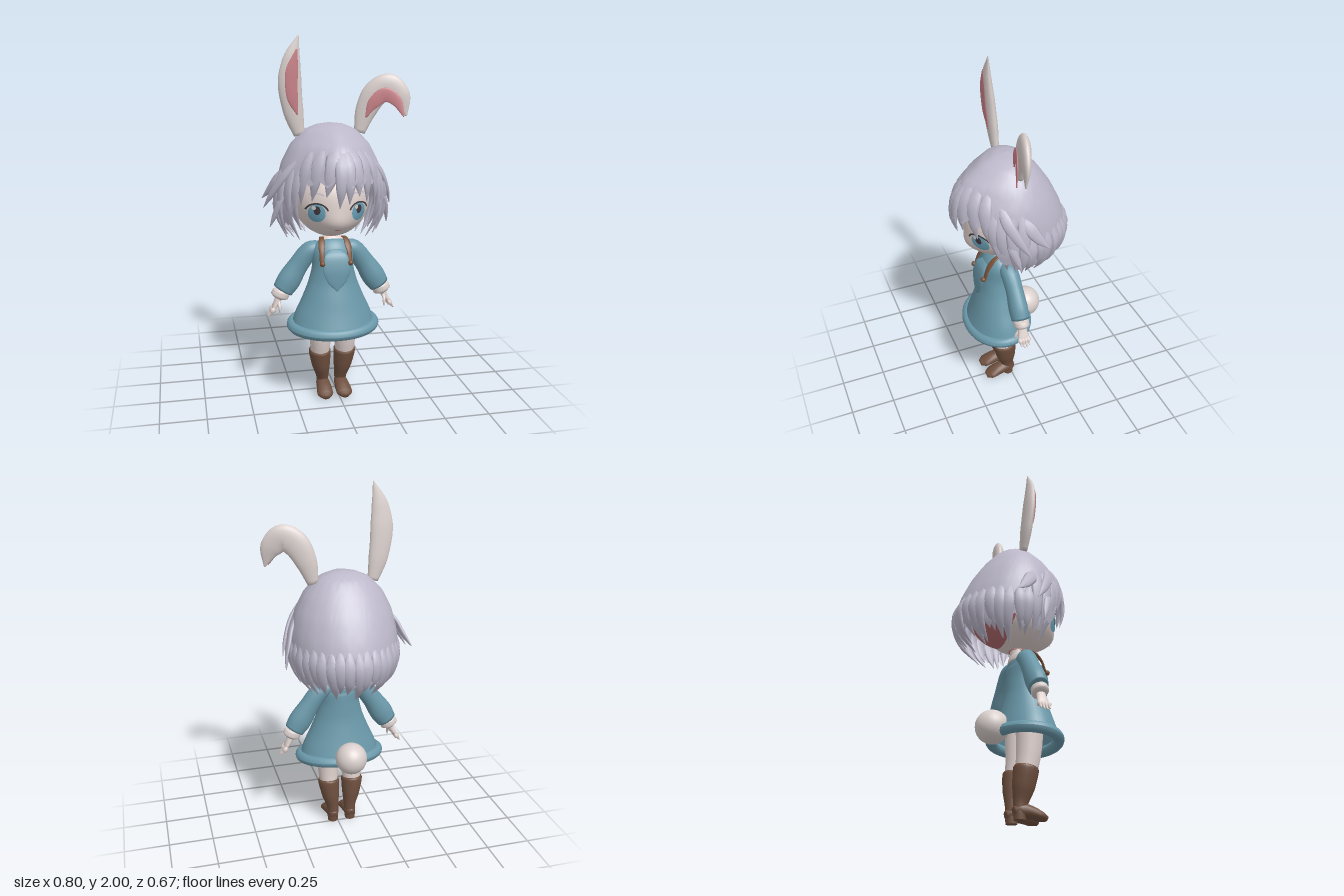
import * as THREE from 'three';

const mat = (name, color, double) => {
  const m = new THREE.MeshStandardMaterial({ color });
  m.name = name;
  if (double) m.side = THREE.DoubleSide;
  return m;
};
const V = (p) => new THREE.Vector3(...p);

// Sweeps an ellipse along stations [x, y, z, width radius, depth radius]; ref is the depth direction.
function sweep(stations, ref = [0, 0, 1], steps = 20, sides = 20, closed = true) {
  const path = new THREE.CatmullRomCurve3(stations.map((s) => new THREE.Vector3(s[0], s[1], s[2])));
  const size = new THREE.CatmullRomCurve3(stations.map((s) => new THREE.Vector3(s[3], s[4], 0)));
  const pos = [], idx = [];
  for (let i = 0; i <= steps; i++) {
    const t = i / steps, p = path.getPoint(t), r = size.getPoint(t), T = path.getTangent(t);
    const B = V(ref).addScaledVector(T, -V(ref).dot(T)).normalize();
    const S = B.clone().cross(T);
    for (let j = 0; j < sides; j++) {
      const th = (j / sides) * Math.PI * 2;
      const q = p.clone().addScaledVector(S, Math.max(r.x, 0.001) * Math.cos(th))
        .addScaledVector(B, Math.max(r.y, 0.001) * Math.sin(th));
      pos.push(q.x, q.y, q.z);
    }
  }
  for (let i = 0; i < steps; i++) for (let j = 0; j < sides; j++) {
    const k = (j + 1) % sides, a = i * sides + j, b = i * sides + k;
    idx.push(a, b, a + sides, b, b + sides, a + sides);
  }
  if (closed) for (const end of [0, 1]) {
    const c = pos.length / 3, p = path.getPoint(end), o = end * steps * sides;
    pos.push(p.x, p.y, p.z);
    for (let j = 0; j < sides; j++) {
      const k = (j + 1) % sides;
      end ? idx.push(c, o + j, o + k) : idx.push(c, o + k, o + j);
    }
  }
  return surface(pos, idx);
}

function surface(pos, idx) {
  const g = new THREE.BufferGeometry();
  g.setAttribute('position', new THREE.Float32BufferAttribute(pos, 3));
  g.setIndex(idx);
  g.computeVertexNormals();
  return g;
}

// Hair outline by height: [y, half width, front reach, back reach]
const OUTLINE = [[1.545, 0, 0, 0], [1.535, 0.075, 0.08, 0.05], [1.505, 0.145, 0.15, 0.11], [1.43, 0.215, 0.25, 0.175],
  [1.33, 0.265, 0.312, 0.24], [1.22, 0.292, 0.335, 0.292], [1.1, 0.3, 0.325, 0.328], [1.0, 0.28, 0.29, 0.315],
  [0.93, 0.245, 0.25, 0.265], [0.86, 0.2, 0.2, 0.21]];
function level(y) {
  let i = 0;
  while (i < OUTLINE.length - 2 && OUTLINE[i + 1][0] > y) i++;
  return i + (OUTLINE[i][0] - y) / (OUTLINE[i][0] - OUTLINE[i + 1][0]);
}
// Point on the hair at outline level s and azimuth a (0 = front, positive = left); the fringe comes to a blunt point
function hairPoint(s, a, lift = 0) {
  const i = Math.min(Math.floor(s), OUTLINE.length - 2), f = s - i;
  const [y, w, zf, zb] = OUTLINE[i].map((v, k) => v + (OUTLINE[i + 1][k] - v) * f);
  const c = Math.cos(a), n = Math.sin(a), front = Math.max(c, 0) ** 2;
  return [-0.03 + w * n * (1 - 0.36 * front) + 0.1 * w * front + lift * n, y, (c > 0 ? zf : zb) * c + lift * c];
}

// Height of the face surface in z, for painted features
const HEAD = [-0.03, 1.14, 0.03], HR = 0.21;
function faceZ(x, y) {
  const d = HR * HR - (x - HEAD[0]) ** 2 - (y - HEAD[1]) ** 2;
  const muzzle = 0.036 * Math.exp(-((x - HEAD[0]) ** 2) / 0.008 - ((y - 1.015) ** 2) / 0.005);
  return HEAD[2] + Math.sqrt(Math.max(d, 0)) + muzzle;
}

export function createModel() {
  const M = {
    hair: mat('lavender hair', 0xbcb8ca, true), skin: mat('skin', 0xe0d2ce), fur: mat('fur', 0xdad0cd),
    pink: mat('ear pink', 0xcb848a), dress: mat('blue cloth', 0x6a98a9, true), boot: mat('brown leather', 0x6f503f),
    strap: mat('strap', 0x7b5138), iris: mat('iris blue', 0x6da6be), dark: mat('dark line', 0x433a40),
    inner: mat('hair underside', 0xb46c70),
  };
  const root = new THREE.Group();
  const body = new THREE.Group(), head = new THREE.Group();
  body.name = 'body'; head.name = 'head';
  body.position.x = -0.027;
  root.add(body, head);
  const add = (parent, name, geo, m, p = [0, 0, 0]) => {
    const mesh = new THREE.Mesh(geo, m);
    mesh.name = name;
    mesh.position.set(...p);
    parent.add(mesh);
    return mesh;
  };

  // Dress, hem roll, collar
  add(body, 'dress', sweep([[0, 0.42, 0.07, 0.238, 0.175], [0, 0.5, 0.07, 0.212, 0.15], [0, 0.58, 0.07, 0.175, 0.128],
    [0, 0.68, 0.068, 0.135, 0.103], [0, 0.77, 0.066, 0.114, 0.092], [0, 0.84, 0.062, 0.115, 0.085],
    [0, 0.88, 0.05, 0.1, 0.07], [0, 0.9, 0.042, 0.078, 0.055]], undefined, 28, 36, false), M.dress);
  const hem = new THREE.TorusGeometry(1, 0.03, 14, 48);
  const hp = hem.attributes.position;
  for (let i = 0; i < hp.count; i++) { // stretch the ring, keep the roll round
    const x = hp.getX(i), y = hp.getY(i), l = Math.hypot(x, y), d = l - 1;
    hp.setXYZ(i, (x / l) * (0.23 + d), (y / l) * (0.168 + d), hp.getZ(i));
  }
  hem.computeVertexNormals();
  add(body, 'hem', hem, M.dress, [0, 0.43, 0.07]).rotation.x = Math.PI / 2 + 0.1;
  add(body, 'tail', new THREE.SphereGeometry(0.09, 28, 20), M.fur, [-0.02, 0.475, -0.12]);
  add(body, 'neck', sweep([[0, 0.87, 0.044, 0.084, 0.062], [0, 0.905, 0.04, 0.074, 0.052], [0, 0.93, 0.034, 0.045, 0.041],
    [0, 1.0, 0.03, 0.04, 0.038]], undefined, 12), M.skin);
  add(body, 'neckBand', new THREE.CylinderGeometry(0.046, 0.049, 0.016, 24), M.pink, [0, 0.94, 0.033]);
  add(body, 'bib', sweep([[0, 0.87, 0.136, 0.035, 0.006], [0, 0.84, 0.162, 0.065, 0.008], [0, 0.77, 0.18, 0.074, 0.009],
    [0, 0.7, 0.186, 0.05, 0.008], [0, 0.65, 0.19, 0.003, 0.004]]), M.dress);

  for (const s of [-1, 1]) {
    const side = s > 0 ? 'left' : 'right';
    // Straps and buttons
    add(body, side + 'Strap', sweep([[s * 0.055, 0.915, 0.03, 0.014, 0.005], [s * 0.066, 0.922, 0.09, 0.014, 0.005],
      [s * 0.075, 0.87, 0.142, 0.014, 0.005], [s * 0.077, 0.805, 0.165, 0.013, 0.005]], [s * 0.2, 0.6, 1], 14, 10), M.strap);
    add(body, side + 'Button', new THREE.SphereGeometry(0.015, 12, 8), M.strap, [s * 0.077, 0.803, 0.174]);
    // Arm: sleeve, cuff, hand
    add(body, side + 'Sleeve', sweep([[s * 0.06, 0.865, 0.04, 0.035, 0.04], [s * 0.12, 0.845, 0.035, 0.052, 0.05],
      [s * 0.185, 0.765, 0.03, 0.056, 0.048], [s * 0.24, 0.68, 0.03, 0.066, 0.053],
      [s * 0.275, 0.625, 0.03, 0.058, 0.05]]), M.dress);
    add(body, side + 'Cuff', sweep([[s * 0.277, 0.63, 0.03, 0.03, 0.03], [s * 0.281, 0.618, 0.03, 0.049, 0.043],
      [s * 0.293, 0.594, 0.03, 0.051, 0.044], [s * 0.299, 0.58, 0.03, 0.03, 0.03]], undefined, 10), M.fur);
    add(body, side + 'Palm', sweep([[s * 0.29, 0.6, 0.03, 0.02, 0.022], [s * 0.308, 0.56, 0.03, 0.018, 0.027],
      [s * 0.325, 0.53, 0.03, 0.013, 0.032], [s * 0.333, 0.515, 0.03, 0.009, 0.026]], undefined, 10, 12), M.skin);
    for (let f = 0; f < 4; f++) {
      const z = 0.006 + f * 0.016, l = f % 3 ? 1 : 0.8;
      add(body, side + 'Finger', sweep([[s * 0.325, 0.53, z, 0.008, 0.008], [s * 0.342, 0.505, z, 0.008, 0.008],
        [s * (0.335 + 0.026 * l), 0.52 - 0.04 * l, z, 0.003, 0.003]], undefined, 6, 8), M.skin);
    }
    add(body, side + 'Thumb', sweep([[s * 0.3, 0.565, 0.045, 0.01, 0.01], [s * 0.298, 0.535, 0.066, 0.009, 0.009],
      [s * 0.297, 0.505, 0.07, 0.003, 0.003]], undefined, 6, 8), M.skin);
    // Leg and boot
    add(body, side + 'Leg', sweep([[s * 0.07, 0.24, 0.047, 0.052, 0.056], [s * 0.071, 0.34, 0.062, 0.06, 0.066],
      [s * 0.076, 0.54, 0.07, 0.07, 0.078]]), M.skin);
    add(body, side + 'BootShaft', sweep([[s * 0.053, 0.015, 0.016, 0.03, 0.028], [s * 0.053, 0.09, 0.024, 0.035, 0.04],
      [s * 0.063, 0.17, 0.036, 0.052, 0.06], [s * 0.071, 0.255, 0.047, 0.062, 0.067],
      [s * 0.071, 0.268, 0.049, 0.056, 0.062]]), M.boot);
    add(body, side + 'Foot', sweep([[s * 0.052, 0.04, -0.014, 0.02, 0.022], [s * 0.052, 0.05, 0.02, 0.036, 0.038],
      [s * 0.053, 0.042, 0.08, 0.042, 0.034], [s * 0.055, 0.026, 0.13, 0.045, 0.025],
      [s * 0.055, 0.018, 0.163, 0.022, 0.014]], [0, 1, 0]), M.boot);
    add(body, side + 'Heel', new THREE.CylinderGeometry(0.032, 0.03, 0.03, 16), M.boot, [s * 0.053, 0.015, 0.018]);
  }

  // Face with a soft muzzle
  const face = new THREE.SphereGeometry(HR, 48, 36).translate(...HEAD);
  const fp = face.attributes.position;
  for (let i = 0; i < fp.count; i++) if (fp.getZ(i) > 0.06) fp.setZ(i, faceZ(fp.getX(i), fp.getY(i)));
  face.computeVertexNormals();
  add(head, 'face', face, M.skin);
  const scalp = new THREE.SphereGeometry(1, 32, 20).scale(0.212, 0.25, 0.205);
  add(head, 'hairUnderside', scalp, M.inner, [-0.03, 1.2, -0.055]);

  // Painted features laid on the face
  const paint = (name, m, cx, cy, rx, ry, off, inner = 0, t0 = 0, arc = Math.PI * 2) => {
    const g = new THREE.RingGeometry(inner, 1, 28, 4, t0, arc);
    const p = g.attributes.position;
    for (let i = 0; i < p.count; i++) {
      const x = cx + p.getX(i) * rx, y = cy + p.getY(i) * ry;
      p.setXYZ(i, x, y, faceZ(x, y) + off);
    }
    g.computeVertexNormals();
    add(head, name, g, m);
  };
  for (const s of [-1, 1]) {
    const x = -0.027 + s * 0.113;
    paint('eyeWhite', M.fur, x, 1.095, 0.056, 0.05, 0.003);
    paint('iris', M.iris, x, 1.092, 0.042, 0.05, 0.005);
    paint('pupil', M.dark, x, 1.108, 0.016, 0.024, 0.007);
    paint('eyeGlint', M.fur, x - 0.016, 1.122, 0.01, 0.011, 0.009);
    paint('upperLash', M.dark, x, 1.09, 0.062, 0.06, 0.009, 0.86, 0.35, Math.PI - 0.7);
    paint('brow', M.hair, x, 1.17, 0.05, 0.03, 0.004, 0.8, 0.7, Math.PI - 1.4);
  }
  paint('mouth', M.pink, -0.03, 1.0, 0.018, 0.004, 0.004);

  // Hair cap with a jagged lower edge
  const N = 120, R = 20, pos = [], idx = [];
  for (let i = 0; i < N; i++) {
    const a = (i / N) * Math.PI * 2 - Math.PI;
    const k = THREE.MathUtils.smoothstep(Math.abs(a), 0.85, 1.25);
    const jag = Math.abs(((i / 6) % 1) - 0.5) * (0.07 + 0.07 * k);
    const end = level(THREE.MathUtils.lerp(1.24, 0.955, k) + jag);
    for (let j = 0; j <= R; j++) {
      pos.push(...hairPoint((end * j) / R, a));
      if (j < R) {
        const p = i * (R + 1) + j, q = ((i + 1) % N) * (R + 1) + j;
        idx.push(p, p + 1, q, p + 1, q + 1, q);
      }
    }
  }
  add(head, 'hairCap', surface(pos, idx), M.hair);

  // Locks run over the cap from (a0, y0) to (a1, y1) and lift at the tip
  const lock = (name, a0, y0, a1, y1, w, lift) => {
    const st = [0, 0.35, 0.7, 1].map((t, i) => {
      const a = a0 + (a1 - a0) * t;
      return [...hairPoint(level(y0 + (y1 - y0) * t), a, lift * t * t + (i ? 0.002 : -0.012)),
        w * [0.35, 1, 0.75, 0.04][i], [0.008, 0.013, 0.012, 0.002][i]];
    });
    const m = (a0 + a1) / 2;
    add(head, name, sweep(st, [Math.sin(m), 0, Math.cos(m)], 12, 8), M.hair);
  };
  [[-0.85, 1.45, -0.98, 1.13, 0.036, -0.03], [-0.6, 1.47, -0.78, 1.16, 0.04, -0.03], [-0.25, 1.47, -0.5, 1.19, 0.042, -0.02],
    [-0.1, 1.47, -0.2, 1.13, 0.036, -0.03], [0.1, 1.47, 0.1, 1.15, 0.036, -0.03], [0.3, 1.47, 0.42, 1.19, 0.042, -0.02],
    [0.6, 1.47, 0.72, 1.15, 0.04, -0.03], [0.85, 1.45, 0.98, 1.12, 0.036, -0.03],
  ].forEach((l) => lock('bang', ...l));
  for (const s of [-1, 1]) {
    [[1.0, 1.38, 1.12, 0.98, 0.034, -0.05], [1.15, 1.38, 1.22, 0.92, 0.035, -0.035],
      [1.3, 1.36, 1.38, 0.95, 0.035, 0], [1.5, 1.36, 1.52, 0.92, 0.035, 0],
    ].forEach(([a, y, b, e, w, l]) => lock('sideLock', s * a, y, s * b, e, w, l));
    const out = s < 0 ? 0.065 : 0.04; // outward flicks
    lock('flick', s * 1.1, 1.38, s * 1.58, 1.09, 0.032, out);
    lock('flick', s * 1.5, 1.3, s * 1.86, 1.12, 0.036, out + 0.01);
    lock('flick', s * 1.25, 1.2, s * 1.45, 0.99, 0.024, out);
  }
  for (let i = 0; i < 19; i++) {
    const a = 1.65 + (i / 18) * 2.98;
    lock('backLock', a, 1.2, a + 0.05 * Math.sin(i * 2.3), 0.915 + 0.03 * Math.sin(i * 1.9), 0.034, -0.015);
  }

  // Ears: one upright, one folded over
  const ears = new THREE.Group();
  ears.name = 'ears';
  root.add(ears);
  add(ears, 'rightEar', sweep([[-0.195, 1.48, 0, 0.03, 0.02], [-0.225, 1.6, 0.005, 0.054, 0.028],
    [-0.245, 1.75, 0.015, 0.063, 0.028], [-0.235, 1.88, 0.025, 0.046, 0.02], [-0.2, 2, 0.03, 0.003, 0.003]], undefined, 28), M.fur);
  add(ears, 'rightEarInner', sweep([[-0.208, 1.59, 0.03, 0.004, 0.004], [-0.235, 1.68, 0.04, 0.03, 0.006],
    [-0.24, 1.8, 0.048, 0.034, 0.006], [-0.213, 1.93, 0.055, 0.004, 0.003]]), M.pink);
  add(ears, 'leftEar', sweep([[0.137, 1.485, -0.005, 0.03, 0.02], [0.17, 1.6, 0, 0.057, 0.028],
    [0.222, 1.695, 0.015, 0.07, 0.03], [0.287, 1.73, 0.032, 0.07, 0.028], [0.347, 1.675, 0.05, 0.058, 0.022],
    [0.38, 1.575, 0.065, 0.004, 0.004]], [-0.2, 0, 1], 32), M.fur);
  add(ears, 'leftEarInner', sweep([[0.162, 1.57, 0.036, 0.004, 0.004], [0.2, 1.645, 0.05, 0.031, 0.006],
    [0.26, 1.69, 0.066, 0.038, 0.006], [0.315, 1.66, 0.084, 0.03, 0.006], [0.355, 1.575, 0.102, 0.003, 0.003]],
    [-0.25, 0, 1], 24), M.pink);
  return root;
}
